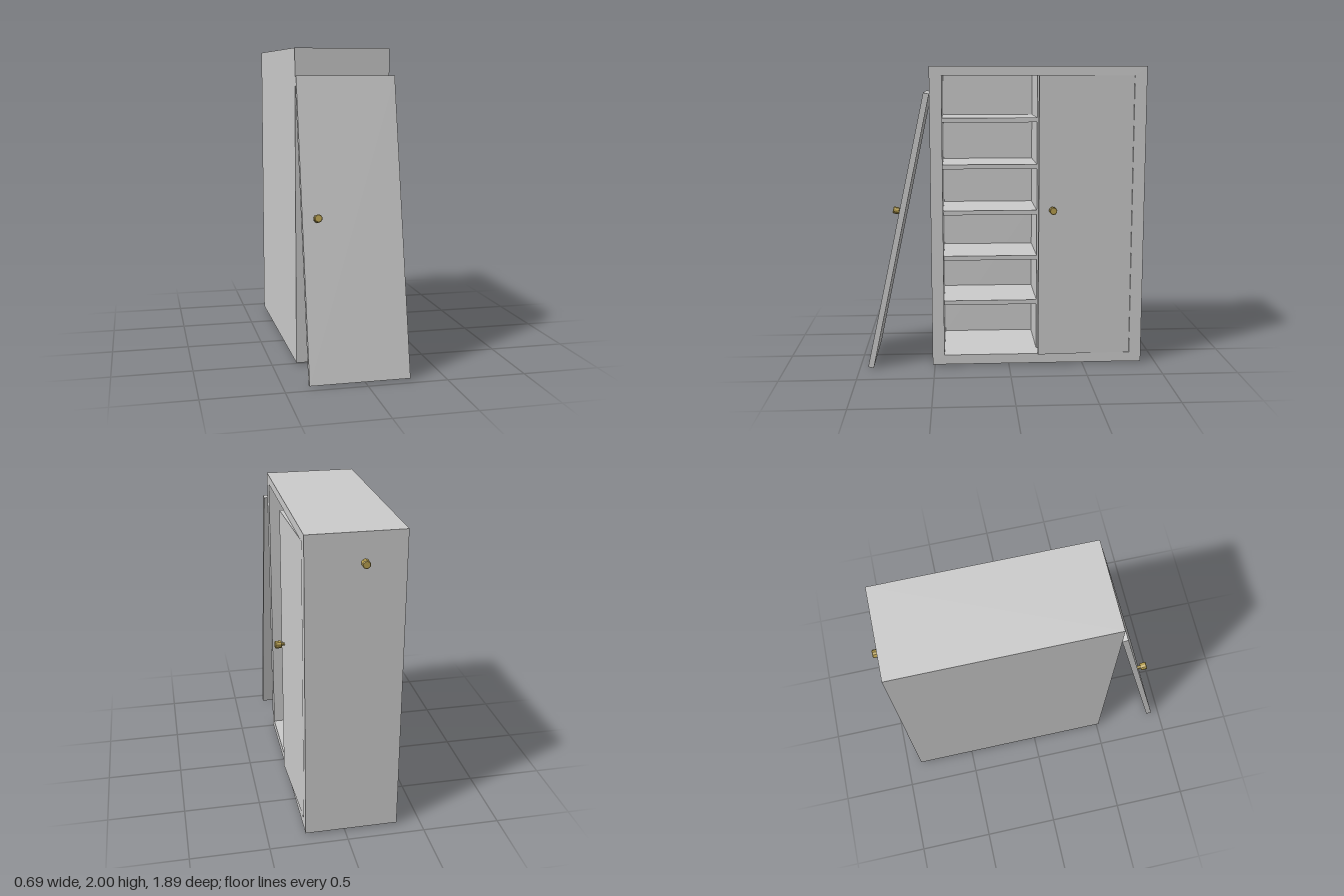
import * as THREE from 'three';

export function createModel() {
  const grey = new THREE.MeshStandardMaterial({ color: 0xcccccc });
  grey.name = 'light grey paint';
  const brass = new THREE.MeshStandardMaterial({ color: 0xb8a050, flatShading: true });
  brass.name = 'brass';

  const root = new THREE.Group();
  root.name = 'cabinet';

  // Box given by its lower and upper limits on each axis
  const box = (name, x0, x1, y0, y1, z0, z1, parent = root) => {
    const geometry = new THREE.BoxGeometry(x1 - x0, y1 - y0, z1 - z0);
    geometry.translate((x0 + x1) / 2, (y0 + y1) / 2, (z0 + z1) / 2);
    const mesh = new THREE.Mesh(geometry, grey);
    mesh.name = name;
    parent.add(mesh);
    return mesh;
  };

  // Knob pointing along its local +z, foot at the origin
  const knobProfile = [[0, 0], [0.011, 0], [0.011, 0.02], [0.022, 0.02], [0.025, 0.024],
    [0.025, 0.059], [0.021, 0.063], [0, 0.063]].map(([r, h]) => new THREE.Vector2(r, h));
  const knobGeometry = new THREE.LatheGeometry(knobProfile, 10).rotateX(Math.PI / 2);
  const knob = (name, x, y, z, turn, parent = root) => {
    const mesh = new THREE.Mesh(knobGeometry, brass);
    mesh.name = name;
    mesh.position.set(x, y, z);
    mesh.rotation.y = turn;
    parent.add(mesh);
  };

  const left = -0.345, front = 0.255;       // depth of the case along x
  const inner = { y0: 0.075, y1: 1.94, z0: -0.82, z1: 0.435 };

  // Case: one rectangular frame, extruded along x
  const rectangle = (Type, u0, u1, y0, y1) => new Type([[u0, y0], [u1, y0], [u1, y1], [u0, y1]]
    .map(([u, y]) => new THREE.Vector2(u, y)));
  const outline = rectangle(THREE.Shape, -0.515, 0.9, 0.01, 2);
  outline.holes.push(rectangle(THREE.Path, -inner.z1, -inner.z0, inner.y0, inner.y1));
  const caseGeometry = new THREE.ExtrudeGeometry(outline, { depth: front - left, bevelEnabled: false });
  caseGeometry.rotateY(Math.PI / 2).translate(left, 0, 0);
  const frame = new THREE.Mesh(caseGeometry, grey);
  frame.name = 'case';
  root.add(frame);

  // Back panel and the divider between the two compartments
  box('backPanel', left, -0.305, inner.y0, inner.y1, inner.z0, inner.z1);
  box('divider', -0.305, 0.13, inner.y0, inner.y1, -0.215, -0.195);

  // Shelves in the open compartment
  for (let i = 0; i < 5; i++) {
    const y = 0.388 + i * 0.311;
    box('shelf', -0.305, 0.13, y, y + 0.03, -0.195, inner.z1);
  }

  // Hinged door, slightly ajar
  const hingedDoor = new THREE.Group();
  hingedDoor.name = 'hingedDoor';
  hingedDoor.position.set(0.253, 0, inner.z0);
  hingedDoor.rotation.y = 0.044;
  box('hingedDoorPanel', -0.038, 0, inner.y0 + 0.001, inner.y1 - 0.001, 0.002, 0.625, hingedDoor);
  knob('hingedDoorKnob', 0, 1.065, 0.536, Math.PI / 2, hingedDoor);
  root.add(hingedDoor);

  // Loose door leaning against the end of the case
  const leaningDoor = new THREE.Group();
  leaningDoor.name = 'leaningDoor';
  leaningDoor.position.set(0, 0.001, 0.909);
  leaningDoor.rotation.x = -0.213;
  box('leaningDoorPanel', left, 0.28, 0, 1.865, 0, 0.038, leaningDoor);
  knob('leaningDoorKnob', -0.258, 0.99, 0.038, 0, leaningDoor);
  root.add(leaningDoor);

  // Knob on the far end of the case
  knob('endKnob', -0.095, 1.817, -0.88, Math.PI);

  return root;
}
